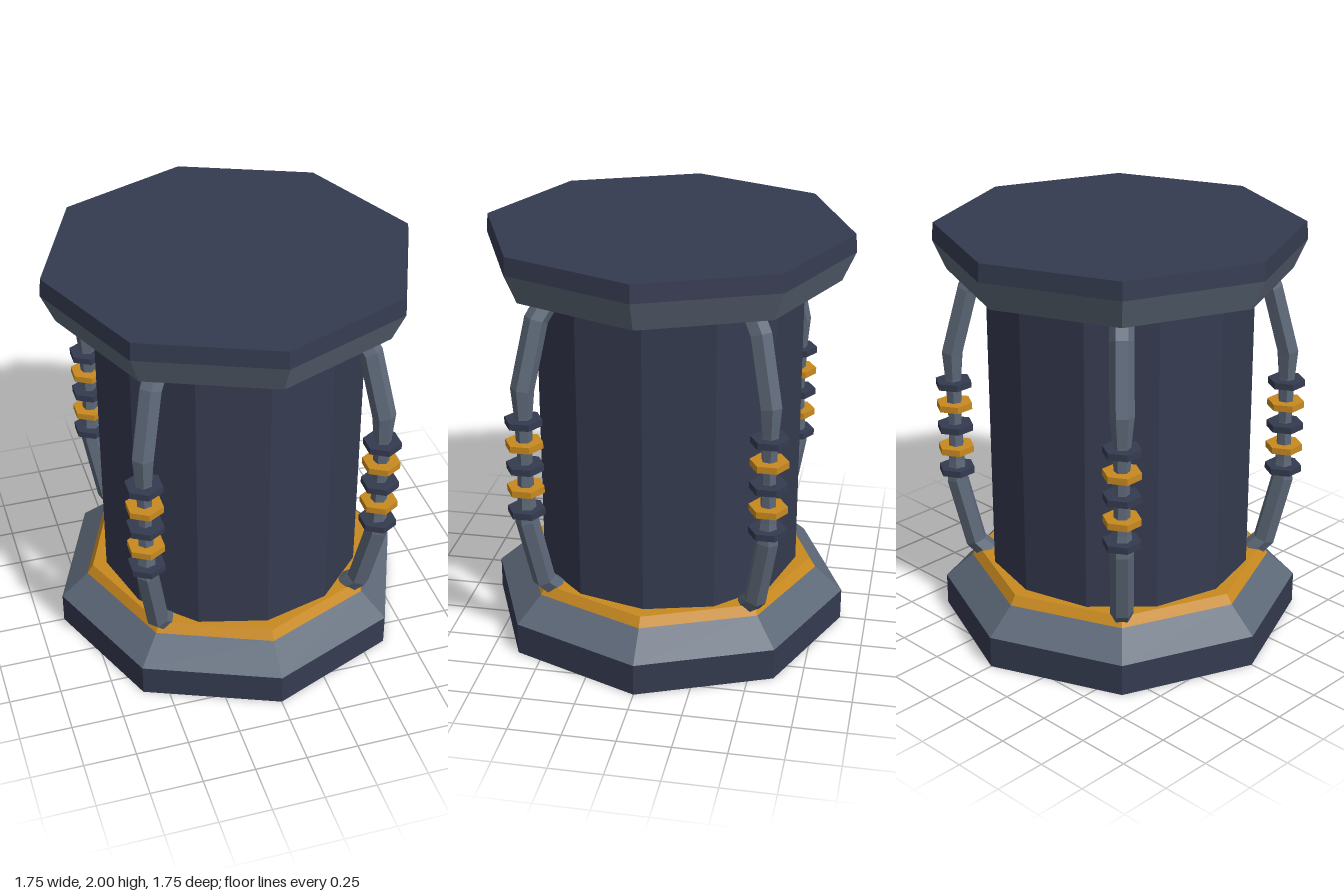
import * as THREE from 'three';

const mat = (name, color) => {
  const m = new THREE.MeshStandardMaterial({ color, flatShading: true });
  m.name = name;
  return m;
};

// Straight or tapered prism between two heights, first corner on +z
function prism(name, material, sides, rBottom, rTop, y0, y1) {
  const mesh = new THREE.Mesh(new THREE.CylinderGeometry(rTop, rBottom, y1 - y0, sides), material);
  mesh.position.y = (y0 + y1) / 2;
  mesh.name = name;
  return mesh;
}

// Six-sided bent bar in the yz plane, from [distance, height, radius] stations
function barGeometry(stations, sides = 6) {
  const pts = stations.map(([d, y]) => new THREE.Vector3(0, y, d));
  const last = pts.length - 1;
  const pos = [];
  const index = [];
  pts.forEach((p, i) => {
    const t = pts[Math.min(i + 1, last)].clone().sub(pts[Math.max(i - 1, 0)]).normalize();
    const out = new THREE.Vector3(0, -t.z, t.y);
    for (let j = 0; j < sides; j++) {
      const a = (j / sides) * Math.PI * 2;
      const r = stations[i][2];
      const v = p.clone().addScaledVector(out, Math.sin(a) * r);
      pos.push(Math.cos(a) * r, v.y, v.z);
    }
  });
  for (let i = 0; i < last; i++) {
    for (let j = 0; j < sides; j++) {
      const a = i * sides + j, b = i * sides + (j + 1) % sides;
      index.push(a, a + sides, b, b, a + sides, b + sides);
    }
  }
  // End caps
  for (let j = 1; j < sides - 1; j++) {
    const e = last * sides;
    index.push(0, j, j + 1, e, e + j + 1, e + j);
  }
  const g = new THREE.BufferGeometry();
  g.setAttribute('position', new THREE.Float32BufferAttribute(pos, 3));
  g.setIndex(index);
  const flat = g.toNonIndexed();
  flat.computeVertexNormals();
  return flat;
}

export function createModel() {
  const navy = mat('navy', 0x353b50);
  const steel = mat('steel', 0x5d6878);
  const gold = mat('gold', 0xc98a20);
  const model = new THREE.Group();
  model.name = 'pillar';

  // Stacked base, column and capital
  model.add(
    prism('basePlinth', navy, 8, 0.875, 0.875, 0, 0.155),
    prism('baseSlope', steel, 8, 0.875, 0.74, 0.155, 0.275),
    prism('baseTrim', gold, 8, 0.74, 0.71, 0.275, 0.32),
    prism('column', navy, 12, 0.64, 0.64, 0.3, 1.8),
    prism('capitalFlare', steel, 8, 0.81, 0.872, 1.775, 1.915),
    prism('capitalTop', navy, 8, 0.872, 0.865, 1.915, 2)
  );

  // Four bent braces on the diagonals, each with five collars
  const brace = barGeometry([
    [0.66, 0.3, 0.055], [0.72, 0.36, 0.055], [0.8, 0.7, 0.055], [0.8, 0.8, 0.042],
    [0.8, 1.0, 0.034], [0.8, 1.23, 0.042], [0.8, 1.36, 0.055], [0.715, 1.68, 0.055],
    [0.63, 1.79, 0.055]
  ]);
  for (let i = 0; i < 4; i++) {
    const angle = Math.PI / 4 + (i * Math.PI) / 2;
    const bar = new THREE.Mesh(brace, steel);
    bar.name = 'brace';
    bar.rotation.y = angle;
    model.add(bar);
    for (let k = 0; k < 5; k++) {
      const y = 0.751 + k * 0.113;
      const collar = prism('braceCollar', k % 2 ? gold : navy, 6, 0.09, 0.09, y - 0.016, y + 0.016);
      collar.position.x = Math.sin(angle) * 0.8;
      collar.position.z = Math.cos(angle) * 0.8;
      model.add(collar);
    }
  }
  return model;
}
